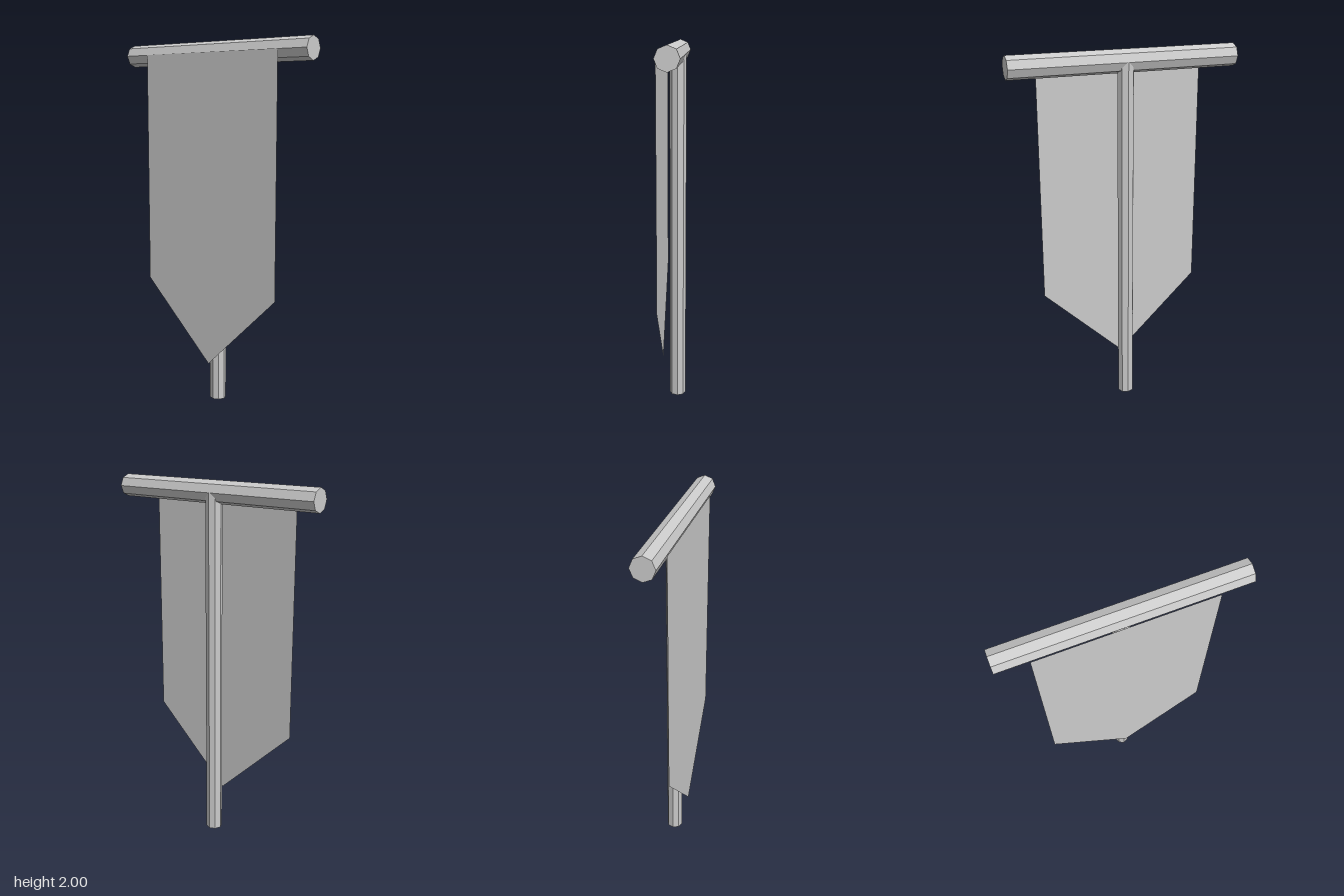
import * as THREE from 'three';

export function createModel() {
  const group = new THREE.Group();
  group.name = 'hangingBanner';
  const solid = new THREE.MeshStandardMaterial({ color: 0xcccccc, flatShading: true });
  const open = new THREE.MeshStandardMaterial({ color: 0xcccccc, flatShading: true, side: THREE.DoubleSide });

  const add = (name, geometry, material, x, y, z) => {
    const mesh = new THREE.Mesh(geometry, material);
    mesh.name = name;
    mesh.position.set(x, y, z);
    group.add(mesh);
    return mesh;
  };

  // Upright pole: open eight-sided tube ending inside the crossbar
  const poleHeight = 1.94;
  add('pole', new THREE.CylinderGeometry(0.045, 0.045, poleHeight, 8, 1, true), open, 0, poleHeight / 2, -0.02);

  // Horizontal crossbar: capped eight-sided rod
  const bar = add('crossbar', new THREE.CylinderGeometry(0.061, 0.061, 1.236, 8), solid, 0, 1.939, -0.002);
  bar.rotation.z = Math.PI / 2;

  // Thin cloth hanging from the front of the crossbar, pointed at the bottom
  const cloth = new THREE.Shape([
    new THREE.Vector2(-0.452, 1.94),
    new THREE.Vector2(-0.452, 0.652),
    new THREE.Vector2(0, 0.22),
    new THREE.Vector2(0.452, 0.652),
    new THREE.Vector2(0.452, 1.94),
  ]);
  add('bannerCloth', new THREE.ShapeGeometry(cloth), open, 0, 0, 0.064);

  return group;
}
